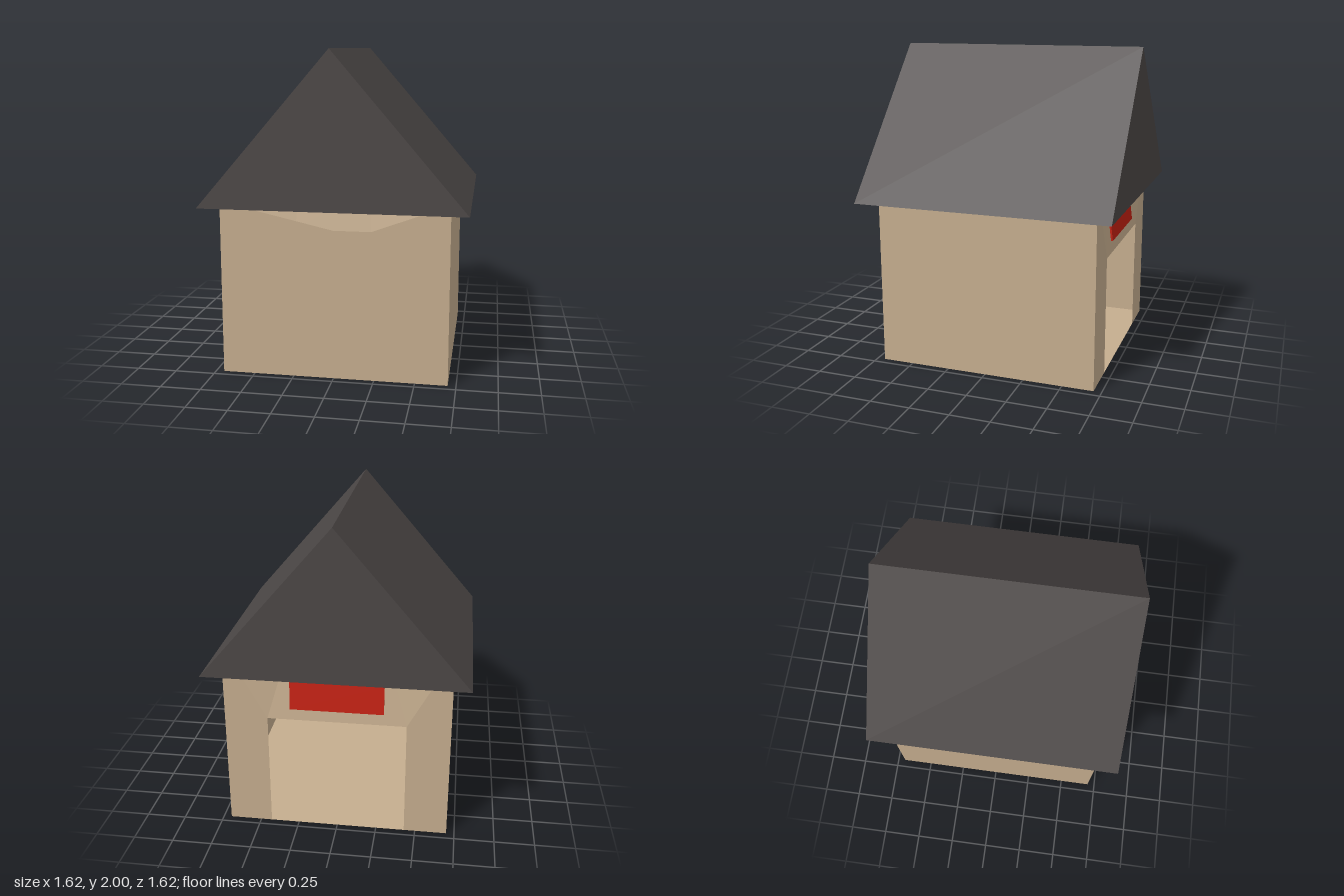
import * as THREE from 'three';

const H = 1.06; // wall height, where the roof starts
const W = 0.7;  // half width of the house

const wood = new THREE.MeshStandardMaterial({ color: 0xc5ad8e, side: THREE.DoubleSide });
wood.name = 'tanWood';
const slate = new THREE.MeshStandardMaterial({ color: 0x4b4645 });
slate.name = 'charcoalRoof';
const red = new THREE.MeshStandardMaterial({ color: 0xc02011 });
red.name = 'redSign';

// Flat-shaded mesh from polygons, each listed counterclockwise from outside
function panels(name, polygons) {
  const pos = [];
  for (const p of polygons) {
    for (let i = 1; i < p.length - 1; i++) pos.push(...p[0], ...p[i], ...p[i + 1]);
  }
  const geo = new THREE.BufferGeometry();
  geo.setAttribute('position', new THREE.Float32BufferAttribute(pos, 3));
  geo.computeVertexNormals();
  const mesh = new THREE.Mesh(geo, wood);
  mesh.name = name;
  return mesh;
}

// Add the x-mirrored copies of half-wall polygons
const mirrored = (polys) =>
  polys.concat(polys.map((p) => p.map(([x, y, z]) => [-x, y, z]).reverse()));

// End wall: a flat half plus a band at the top that leans inward
function endWall(name, flat, bend, outerX, innerX, recess, side) {
  const z = side * W;
  const zTop = side * (W - recess);
  const [bx, by] = bend;
  let polys = mirrored([
    flat.map(([x, y]) => [x, y, z]),
    [[bx, by, z], [outerX, H, z], [innerX, H, zTop]],
    [[0, by, z], [bx, by, z], [innerX, H, zTop], [0, H, zTop]],
  ]);
  if (side < 0) polys = polys.map((p) => p.slice().reverse());
  return panels(name, polys);
}

export function createModel() {
  const group = new THREE.Group();
  group.name = 'kennel';

  // Floor and side walls
  group.add(panels('floor', [[[-W, 0, -W], [W, 0, -W], [W, 0, W], [-W, 0, W]]]));
  const sideWall = [[W, 0, W], [W, 0, -W], [W, H, -W], [W, H, W]];
  group.add(panels('leftWall', [sideWall]));
  group.add(panels('rightWall', [sideWall.map(([x, y, z]) => [-x, y, z]).reverse()]));

  // Closed end
  group.add(endWall('frontWall',
    [[0, 0], [W, 0], [W, H], [0.58, H], [0.23, 0.93], [0, 0.93]],
    [0.23, 0.93], 0.58, 0.22, 0.025, 1));

  // End with the doorway
  group.add(endWall('doorWall',
    [[0.43, 0], [W, 0], [W, H], [0.6, H], [0.43, 0.75]],
    [0.43, 0.75], 0.6, 0.34, 0.04, -1));

  // Sign above the doorway, leaning with the wall
  const sign = new THREE.Mesh(new THREE.BoxGeometry(0.58, 0.18, 0.02), red);
  sign.name = 'sign';
  sign.position.set(0, 0.91, -0.681);
  sign.rotation.x = Math.atan(0.13);
  group.add(sign);

  // Gabled roof, slightly shorter at the ridge than at the eaves
  const gable = new THREE.Shape();
  gable.moveTo(-0.81, H);
  gable.lineTo(0.81, H);
  gable.lineTo(0, 2);
  gable.closePath();
  const roofGeo = new THREE.ExtrudeGeometry(gable, { depth: 1.62, bevelEnabled: false });
  roofGeo.translate(0, 0, -0.81);
  const p = roofGeo.attributes.position;
  for (let i = 0; i < p.count; i++) {
    if (p.getY(i) > 1.5) p.setZ(i, Math.sign(p.getZ(i)) * 0.798);
  }
  roofGeo.computeVertexNormals();
  const roof = new THREE.Mesh(roofGeo, slate);
  roof.name = 'roof';
  group.add(roof);

  return group;
}
